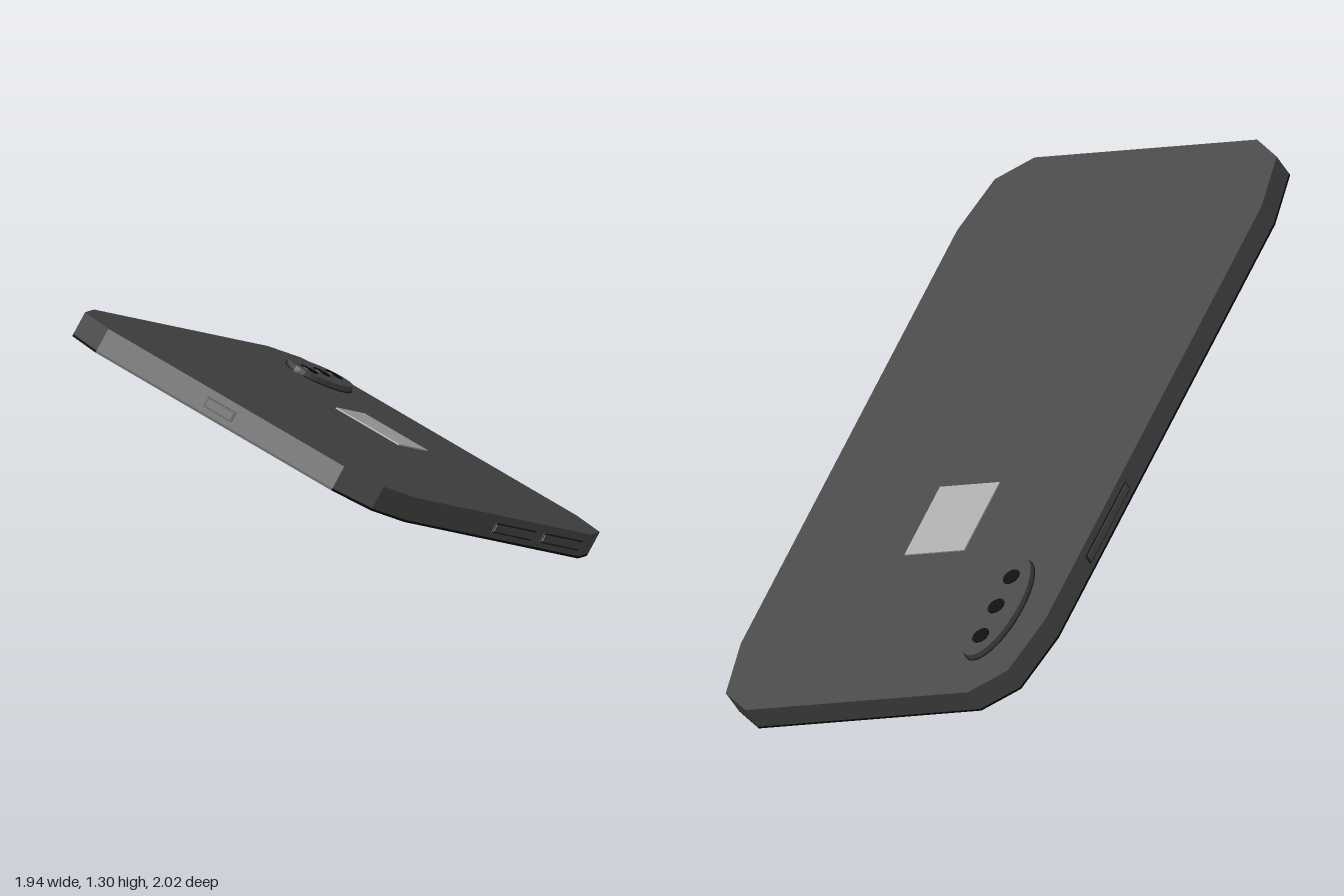
import * as THREE from 'three';

const mat = (name, color) => {
  const m = new THREE.MeshStandardMaterial({ color, flatShading: true });
  m.name = name;
  return m;
};

export function createModel() {
  const body = mat('graphite', 0x484848);
  const black = mat('black', 0x080808);
  const glass = mat('screen glass', 0x292929);
  const silver = mat('silver', 0xaaaaaa);
  const seam = mat('seam grey', 0x1c1c1c);

  const phone = new THREE.Group();
  phone.name = 'phone';
  const H = 0.04; // half thickness; the back is local +z, the phone's top is local +y

  const add = (name, geo, material) => {
    const mesh = new THREE.Mesh(geo, material);
    mesh.name = name;
    phone.add(mesh);
    return mesh;
  };
  // Flat slab from a closed outline between two depths
  const slab = (name, pts, z0, z1, material) => {
    const shape = new THREE.Shape(pts.map(([x, y]) => new THREE.Vector2(x, y)));
    const geo = new THREE.ExtrudeGeometry(shape, { depth: z1 - z0, bevelEnabled: false });
    return add(name, geo.translate(0, 0, z0), material);
  };
  const box = (name, size, pos, material) =>
    add(name, new THREE.BoxGeometry(...size), material).position.set(...pos);
  const disc = (name, rx, ry, x, y, z0, z1, material) => {
    const geo = new THREE.CylinderGeometry(1, 1, z1 - z0, 32).rotateX(Math.PI / 2);
    geo.scale(rx, ry, 1).translate(x, y, (z0 + z1) / 2);
    return add(name, geo, material);
  };
  // Mirror one cut corner (side to top) into a full outline, anticlockwise
  const outline = (c) => {
    const r = [...c].reverse();
    return [
      ...c,
      ...r.map(([x, y]) => [-x, y]),
      ...c.map(([x, y]) => [-x, -y]),
      ...r.map(([x, y]) => [x, -y]),
    ];
  };

  // Case and front bezel
  const edge = outline([[0.575, 0.82], [0.532, 1.02], [0.42, 1.097]]);
  slab('case', edge, -H + 0.007, H, body);
  slab('bezel', edge, -H, -H + 0.007, black);

  // Screen with a notch cut into its top edge
  const screen = outline([[0.54, 0.8], [0.497, 0.985], [0.395, 1.06]]);
  screen.splice(3, 0, [0.29, 1.06], [0.22, 1.03], [0.18, 0.985], [0.13, 0.965],
    [-0.13, 0.965], [-0.18, 0.985], [-0.22, 1.03], [-0.29, 1.06]);
  slab('screen', screen, -H - 0.003, -H, glass);
  box('earpiece', [0.15, 0.02, 0.004], [0, 1.035, -H - 0.001], body);
  disc('frontCamera', 0.013, 0.013, -0.115, 1.035, -H - 0.003, -H + 0.001, seam);

  // Side buttons: a dark seam with a raised key over it
  for (const [name, x, y, len] of [
    ['powerButton', -0.575, 0.4, 0.3],
    ['volumeUpButton', 0.575, 0.6, 0.36],
    ['volumeDownButton', 0.575, 0.15, 0.37],
  ]) {
    box(name + 'Seam', [0.004, len, 0.032], [x, y, 0], seam);
    box(name, [0.01, len - 0.012, 0.022], [x, y, 0], body);
  }

  // Charging port in the bottom edge
  box('portRim', [0.1, 0.004, 0.034], [0, -1.097, 0], seam);
  box('port', [0.088, 0.007, 0.022], [0, -1.097, 0], body);

  // Rear camera bump with three lenses
  disc('cameraRim', 0.092, 0.2, -0.375, 0.768, H - 0.005, H + 0.003, seam);
  disc('cameraBump', 0.087, 0.195, -0.375, 0.768, H - 0.005, H + 0.018, body);
  for (const y of [0.885, 0.768, 0.652]) {
    disc('lens', 0.028, 0.028, -0.375, y, H, H + 0.021, black);
  }

  // Plain square plate on the back
  box('backPlate', [0.225, 0.27, 0.006], [-0.003, 0.375, H + 0.001], silver);

  // Lean the phone into its floating pose
  const down = new THREE.Vector3(0.495, 0.434, 0.752).normalize();
  const back = down.clone().cross(new THREE.Vector3(0.868, -0.321, -0.381)).normalize();
  const up = down.clone().negate();
  const side = up.clone().cross(back);
  phone.quaternion.setFromRotationMatrix(new THREE.Matrix4().makeBasis(side, up, back));
  phone.position.y = 0.653;

  const model = new THREE.Group();
  model.name = 'model';
  model.add(phone);
  return model;
}
